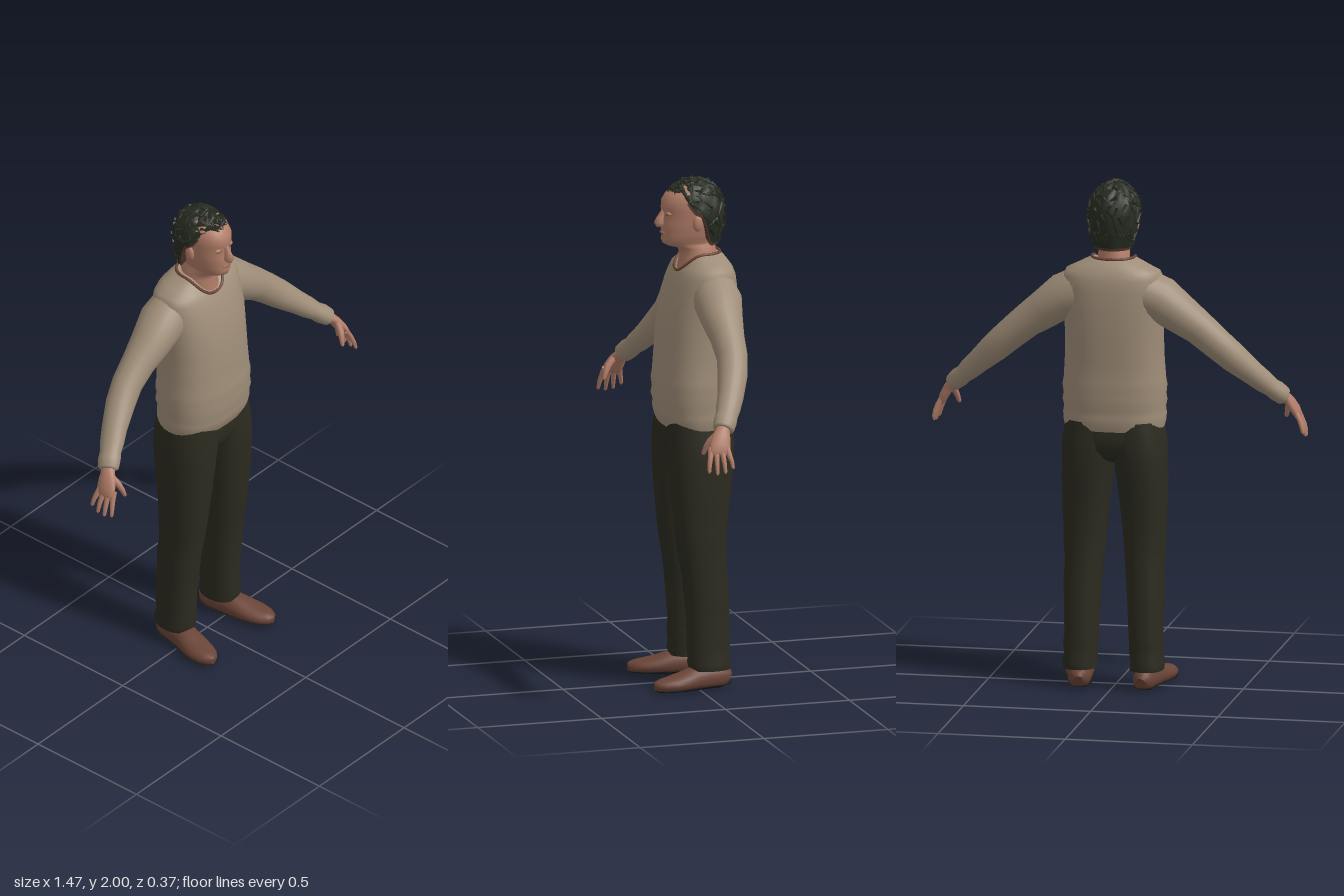
import * as THREE from 'three';
import { mergeGeometries } from 'three/addons/utils/BufferGeometryUtils.js';

const V = (x, y, z) => new THREE.Vector3(x, y, z);
const mat = (name, color) => {
  const m = new THREE.MeshStandardMaterial({ color });
  m.name = name;
  return m;
};

// Closed surface through rings of points, with crisp end caps
function skinRings(rings) {
  const n = rings[0].length, pos = [], index = [];
  rings.forEach(r => r.forEach(p => pos.push(p.x, p.y, p.z)));
  for (let i = 0; i < rings.length - 1; i++) {
    for (let j = 0; j < n; j++) {
      const a = i * n + j, b = i * n + (j + 1) % n;
      index.push(a, b, b + n, a, b + n, a + n);
    }
  }
  [rings[0], rings[rings.length - 1]].forEach((r, end) => {
    const s = pos.length / 3, c = V(0, 0, 0);
    r.forEach(p => { pos.push(p.x, p.y, p.z); c.addScaledVector(p, 1 / n); });
    pos.push(c.x, c.y, c.z);
    for (let j = 0; j < n; j++) {
      const a = s + j, b = s + (j + 1) % n;
      if (end) index.push(a, b, s + n); else index.push(b, a, s + n);
    }
  });
  const g = new THREE.BufferGeometry();
  g.setAttribute('position', new THREE.Float32BufferAttribute(pos, 3));
  g.setIndex(index);
  g.computeVertexNormals();
  return g;
}

// One horizontal superellipse: y, left edge, right edge, front z, back z, front dip
function ring(y, x0, x1, zf, zb, dip = 0, power = 2.4, n = 40) {
  const e = 2 / power, pts = [];
  for (let j = 0; j < n; j++) {
    const a = j / n * Math.PI * 2, s = Math.sin(a), c = Math.cos(a);
    pts.push(V((x0 + x1) / 2 + (x1 - x0) / 2 * Math.sign(s) * Math.abs(s) ** e,
      y - dip * Math.max(0, c) ** 1.6,
      (zf + zb) / 2 + (zf - zb) / 2 * Math.sign(c) * Math.abs(c) ** e));
  }
  return pts;
}
const stack = (rows, power) => skinRings(rows.map(([y, rx, zf, zb, dip]) => ring(y, -rx, rx, zf, zb, dip, power)));

// Limb along a path of [x, y, z, thickness, width]; ref is the width direction
function limb(rows, ref = V(0, 0, 1), n = 20) {
  const c = rows.map(r => V(r[0], r[1], r[2]));
  return skinRings(rows.map((r, i) => {
    const d = c[Math.min(i + 1, c.length - 1)].clone().sub(c[Math.max(i - 1, 0)]).normalize();
    const u = d.clone().cross(ref).normalize(), v = u.clone().cross(d);
    return Array.from({ length: n }, (_, j) => {
      const a = j / n * Math.PI * 2;
      return c[i].clone().addScaledVector(u, Math.sin(a) * r[3]).addScaledVector(v, Math.cos(a) * r[4]);
    });
  }));
}

function mirrored(geo) {
  const g = geo.clone().scale(-1, 1, 1), ix = g.index.array;
  for (let i = 0; i < ix.length; i += 3) [ix[i], ix[i + 1]] = [ix[i + 1], ix[i]];
  return g;
}

function blob(x, y, z, rx, ry, rz) {
  return new THREE.SphereGeometry(1, 16, 10).scale(rx, ry, rz).translate(x, y, z);
}

// Point on the hair shell: phi around the head (0 = front), t from crown to edge
function hairPoint(phi, t, grow = 0, drop = 0) {
  const s = Math.sin(phi), c = Math.cos(phi), mix = THREE.MathUtils.lerp, step = THREE.MathUtils.smoothstep;
  const edge = (c > 0.05 ? mix(1.868, 1.942, step(c, 0.05, 0.75)) : mix(1.868, 1.745, step(-c, -0.05, 0.45))) - drop;
  const y = edge + (1.99 + grow - edge) * Math.cos(t * Math.PI / 2);
  const k = (y - 1.86) / (y > 1.86 ? 0.13 + grow : 0.22);
  const f = Math.sqrt(Math.max(0, 1 - k * k));
  return V((0.101 + grow) * f * s, y, -0.035 + ((c > 0 ? 0.138 : 0.113) + grow) * f * c);
}
function hairShell(grow, drop, lump) {
  const rings = [];
  for (let i = 0; i <= 14; i++) {
    const t = 1 - i / 14 * 0.98;
    rings.push(Array.from({ length: 48 }, (_, j) => {
      const phi = j / 48 * Math.PI * 2;
      return hairPoint(phi, t, grow + lump * Math.sin(phi * 9 + t * 7) * Math.sin(t * 11 + phi * 2), drop);
    }));
  }
  return skinRings(rings);
}
function hairTufts() {
  let seed = 7;
  const rnd = () => (seed = seed * 16807 % 2147483647) / 2147483647;
  const parts = [];
  for (let i = 0; i < 130; i++) {
    const phi = i * 2.39996, t = i % 3 ? 0.25 + rnd() * 0.65 : 0.9;
    const p = hairPoint(phi, t), q = hairPoint(phi + (rnd() - 0.5) * 0.5, t + 0.06);
    const out = V(p.x, (p.y - 1.86) * 0.8, p.z + 0.035).normalize();
    const dir = q.sub(p).normalize().addScaledVector(out, 0.25).normalize();
    const g = new THREE.ConeGeometry(0.012, 0.04 + rnd() * 0.015, 5).scale(1, 1, 0.6);
    g.applyQuaternion(new THREE.Quaternion().setFromUnitVectors(V(0, 1, 0), dir));
    parts.push(g.translate(p.x, p.y, p.z));
  }
  return mergeGeometries(parts);
}

export function createModel() {
  const model = new THREE.Group();
  const wool = mat('sweater beige', 0x9f8d78), cloth = mat('trouser dark olive', 0x2b2b20);
  const skin = mat('skin', 0xb07c67), hair = mat('hair dark', 0x272b20), leather = mat('shoe brown', 0x6a4437);
  const rubber = mat('sole black', 0x1b1a17), trim = mat('collar brown', 0x6b4434);
  const lip = mat('lip', 0x99604f), lash = mat('lash and scalp brown', 0x55382c);
  const add = (name, geo, m) => {
    const mesh = new THREE.Mesh(geo, m);
    mesh.name = name;
    model.add(mesh);
  };
  const pair = (name, geo, m) => {
    add(name + 'Left', geo, m);
    add(name + 'Right', mirrored(geo), m);
  };

  // Sweater body, with folds at the waist and a dipped neckline
  add('sweaterBody', stack([
    [1.025, 0.192, 0.103, -0.155], [1.05, 0.198, 0.115, -0.162], [1.08, 0.2, 0.122, -0.164],
    [1.105, 0.196, 0.12, -0.16], [1.13, 0.202, 0.128, -0.17], [1.155, 0.198, 0.123, -0.165],
    [1.19, 0.202, 0.128, -0.172], [1.22, 0.197, 0.123, -0.168], [1.3, 0.192, 0.118, -0.172],
    [1.4, 0.19, 0.112, -0.18], [1.5, 0.194, 0.098, -0.183], [1.58, 0.197, 0.072, -0.182],
    [1.625, 0.196, 0.055, -0.175, 0.01], [1.652, 0.182, 0.046, -0.165, 0.02],
    [1.672, 0.14, 0.043, -0.152, 0.035], [1.69, 0.104, 0.042, -0.138, 0.05], [1.7, 0.082, 0.042, -0.124, 0.066],
  ]), wool);
  const rim = new THREE.CatmullRomCurve3(ring(1.701, -0.083, 0.083, 0.045, -0.126, 0.068, 2.4, 32), true);
  add('collarTrim', new THREE.TubeGeometry(rim, 64, 0.006, 6, true), trim);

  // Sleeves
  pair('sleeve', limb([
    [0.1, 1.58, -0.07, 0.09, 0.085], [0.19, 1.54, -0.066, 0.088, 0.095], [0.27, 1.48, -0.06, 0.076, 0.08],
    [0.34, 1.43, -0.058, 0.066, 0.066], [0.41, 1.37, -0.055, 0.061, 0.06], [0.47, 1.315, -0.038, 0.057, 0.058],
    [0.54, 1.25, -0.008, 0.046, 0.051], [0.58, 1.213, 0.014, 0.042, 0.048], [0.605, 1.19, 0.028, 0.036, 0.043],
    [0.625, 1.173, 0.04, 0.039, 0.045], [0.648, 1.152, 0.054, 0.035, 0.042], [0.653, 1.148, 0.057, 0.026, 0.032],
  ]), wool);

  // Hands: palm, four fingers and a thumb
  pair('palm', limb([
    [0.63, 1.168, 0.045, 0.02, 0.026], [0.657, 1.145, 0.06, 0.02, 0.028], [0.672, 1.125, 0.07, 0.02, 0.036],
    [0.69, 1.095, 0.08, 0.018, 0.041], [0.702, 1.07, 0.086, 0.013, 0.039], [0.706, 1.062, 0.087, 0.006, 0.032],
  ]), skin);
  const fingers = [0, 1, 2, 3].map(i => {
    const z = 0.055 + i * 0.021, len = [0.75, 0.95, 1, 0.9][i], spread = (i - 1.5) * 0.008, x = 0.703 - i * 0.003;
    return limb([
      [x - 0.008, 1.09, z, 0.01, 0.011], [x + 0.008, 1.06, z + spread * 0.4, 0.01, 0.011],
      [x + 0.022 * len, 1.075 - 0.05 * len, z + spread, 0.009, 0.009],
      [x + 0.03 * len, 1.07 - 0.075 * len, z + spread * 1.3, 0.007, 0.007],
      [x + 0.032 * len, 1.07 - 0.082 * len, z + spread * 1.4, 0.003, 0.003],
    ], V(0, 0, 1), 10);
  });
  pair('fingers', mergeGeometries(fingers), skin);
  pair('thumb', limb([
    [0.665, 1.135, 0.085, 0.013, 0.014], [0.656, 1.105, 0.113, 0.013, 0.014], [0.648, 1.08, 0.126, 0.01, 0.011],
    [0.643, 1.058, 0.134, 0.008, 0.008], [0.642, 1.052, 0.136, 0.003, 0.003],
  ], V(0, 0, 1), 10), skin);

  // Trousers
  add('trouserHips', stack([
    [0.895, 0.03, 0.04, -0.09], [0.915, 0.09, 0.075, -0.125], [0.95, 0.17, 0.098, -0.15],
    [1.0, 0.196, 0.105, -0.156], [1.07, 0.186, 0.1, -0.148],
  ]), cloth);
  pair('trouserLeg', skinRings([
    [0.075, 0.066, 0.196, 0.03, -0.13], [0.1, 0.068, 0.2, 0.037, -0.134], [0.13, 0.064, 0.192, 0.034, -0.127],
    [0.17, 0.063, 0.196, 0.038, -0.13], [0.22, 0.061, 0.191, 0.036, -0.13], [0.32, 0.056, 0.194, 0.044, -0.127],
    [0.42, 0.05, 0.196, 0.053, -0.124], [0.5, 0.043, 0.193, 0.065, -0.118], [0.56, 0.038, 0.199, 0.075, -0.12],
    [0.62, 0.034, 0.199, 0.082, -0.121], [0.72, 0.023, 0.203, 0.092, -0.13], [0.82, 0.011, 0.205, 0.101, -0.143],
    [0.9, 0.001, 0.204, 0.105, -0.152], [0.97, -0.015, 0.202, 0.106, -0.156], [1.06, -0.02, 0.188, 0.1, -0.15],
  ].map(([y, ...r]) => ring(y, ...r, 0, 2.3))), cloth);

  // Shoes: one shape, flattened below for the upper and squashed for the sole
  const shoeRows = [
    [0.123, 0.035, -0.13, 0.018, 0.022], [0.124, 0.04, -0.122, 0.034, 0.036], [0.127, 0.042, -0.09, 0.044, 0.048],
    [0.134, 0.042, -0.04, 0.046, 0.052], [0.143, 0.04, 0.015, 0.05, 0.05], [0.155, 0.034, 0.065, 0.055, 0.039],
    [0.165, 0.03, 0.11, 0.055, 0.032], [0.172, 0.028, 0.15, 0.045, 0.027], [0.176, 0.026, 0.175, 0.027, 0.022],
    [0.177, 0.025, 0.184, 0.01, 0.014],
  ];
  const shoe = (lo, hi, grow) => {
    const g = limb(shoeRows.map(r => [r[0], r[1], r[2], r[3] + grow, r[4]]), V(0, 1, 0), 24), p = g.attributes.position;
    for (let i = 0; i < p.count; i++) p.setY(i, THREE.MathUtils.clamp(p.getY(i), lo, hi));
    g.computeVertexNormals();
    return g;
  };
  pair('shoe', shoe(0.01, 1, 0), leather);
  pair('sole', shoe(0, 0.012, 0.001), rubber);
  pair('ankle', new THREE.CylinderGeometry(0.042, 0.04, 0.1, 16).translate(0.134, 0.1, -0.03), skin);

  // Head and neck
  add('headAndNeck', stack([
    [1.58, 0.07, 0.04, -0.115], [1.64, 0.072, 0.037, -0.118], [1.69, 0.062, 0.028, -0.115],
    [1.72, 0.06, 0.035, -0.113], [1.732, 0.052, 0.08, -0.112], [1.742, 0.055, 0.098, -0.112],
    [1.76, 0.062, 0.104, -0.115], [1.775, 0.067, 0.1, -0.12], [1.8, 0.072, 0.104, -0.125],
    [1.83, 0.077, 0.101, -0.13], [1.86, 0.079, 0.095, -0.13], [1.88, 0.081, 0.103, -0.13],
    [1.91, 0.081, 0.101, -0.125], [1.94, 0.074, 0.082, -0.11], [1.965, 0.056, 0.045, -0.085], [1.98, 0.02, 0, -0.05],
  ], 2.1), skin);
  add('nose', limb([
    [0, 1.878, 0.09, 0.009, 0.01], [0, 1.86, 0.095, 0.01, 0.014], [0, 1.838, 0.103, 0.013, 0.021],
    [0, 1.824, 0.106, 0.017, 0.027], [0, 1.814, 0.103, 0.016, 0.021], [0, 1.81, 0.1, 0.008, 0.01],
  ], V(0, 0, 1), 14), skin);
  pair('ear', blob(0.083, 1.828, -0.018, 0.012, 0.032, 0.02), skin);
  pair('eyelid', blob(0.032, 1.863, 0.083, 0.017, 0.009, 0.011), skin);
  pair('lashLine', blob(0.032, 1.857, 0.089, 0.015, 0.002, 0.004), lash);
  add('lips', blob(0, 1.783, 0.099, 0.025, 0.007, 0.008), lip);

  // Hair
  add('scalpEdge', hairShell(-0.006, 0.012, 0), lash);
  add('hairShell', hairShell(0, 0, 0.005), hair);
  add('hairTufts', hairTufts(), hair);
  return model;
}
